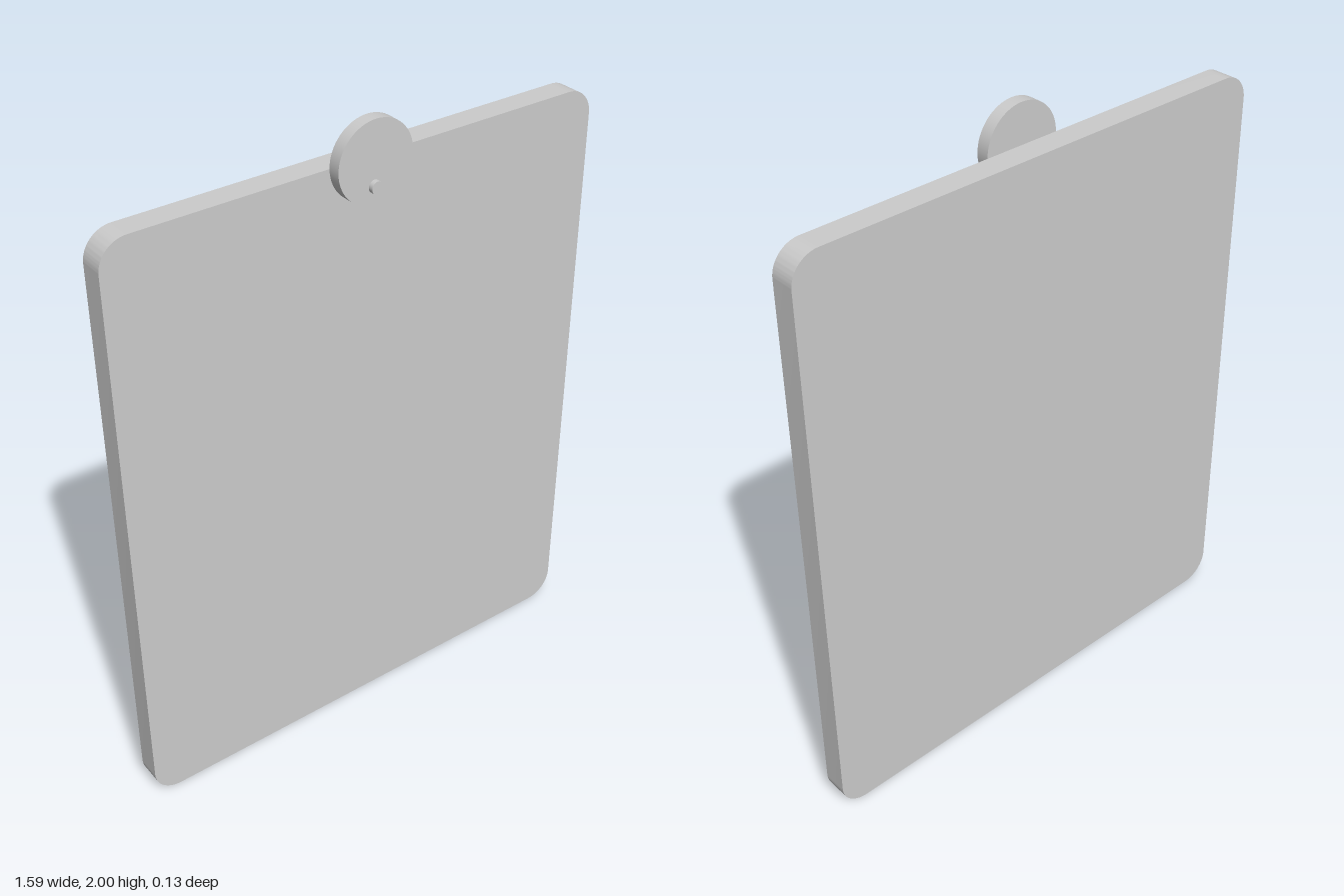
import * as THREE from 'three';
import { toCreasedNormals } from 'three/addons/utils/BufferGeometryUtils.js';

const material = new THREE.MeshStandardMaterial({ color: 0xcccccc });

// Rectangle with rounded corners, standing on y = 0
function roundedRectangle(width, height, r) {
  const w = width / 2;
  const shape = new THREE.Shape();
  shape.absarc(w - r, r, r, -Math.PI / 2, 0);
  shape.absarc(w - r, height - r, r, 0, Math.PI / 2);
  shape.absarc(-w + r, height - r, r, Math.PI / 2, Math.PI);
  shape.absarc(-w + r, r, r, Math.PI, Math.PI * 1.5);
  return shape;
}

// Round disc facing +z, between two depths
function disc(name, radius, x, y, zBack, zFront) {
  const geometry = new THREE.CylinderGeometry(radius, radius, zFront - zBack, 64);
  geometry.rotateX(Math.PI / 2);
  const mesh = new THREE.Mesh(geometry, material);
  mesh.name = name;
  mesh.position.set(x, y, (zBack + zFront) / 2);
  return mesh;
}

export function createModel() {
  const model = new THREE.Group();
  model.name = 'boardWithBadge';

  // Flat board
  const boardGeometry = new THREE.ExtrudeGeometry(roundedRectangle(1.585, 1.88, 0.085), {
    depth: 0.076, bevelEnabled: false, curveSegments: 16,
  });
  const board = new THREE.Mesh(toCreasedNormals(boardGeometry, Math.PI / 6), material);
  board.name = 'board';
  board.position.z = -0.065;
  model.add(board);

  // Round badge on the top edge, with a small raised stud
  model.add(disc('badge', 0.12, 0, 1.88, 0.011, 0.05));
  model.add(disc('badgeStud', 0.019, -0.005, 1.814, 0.05, 0.065));

  return model;
}
